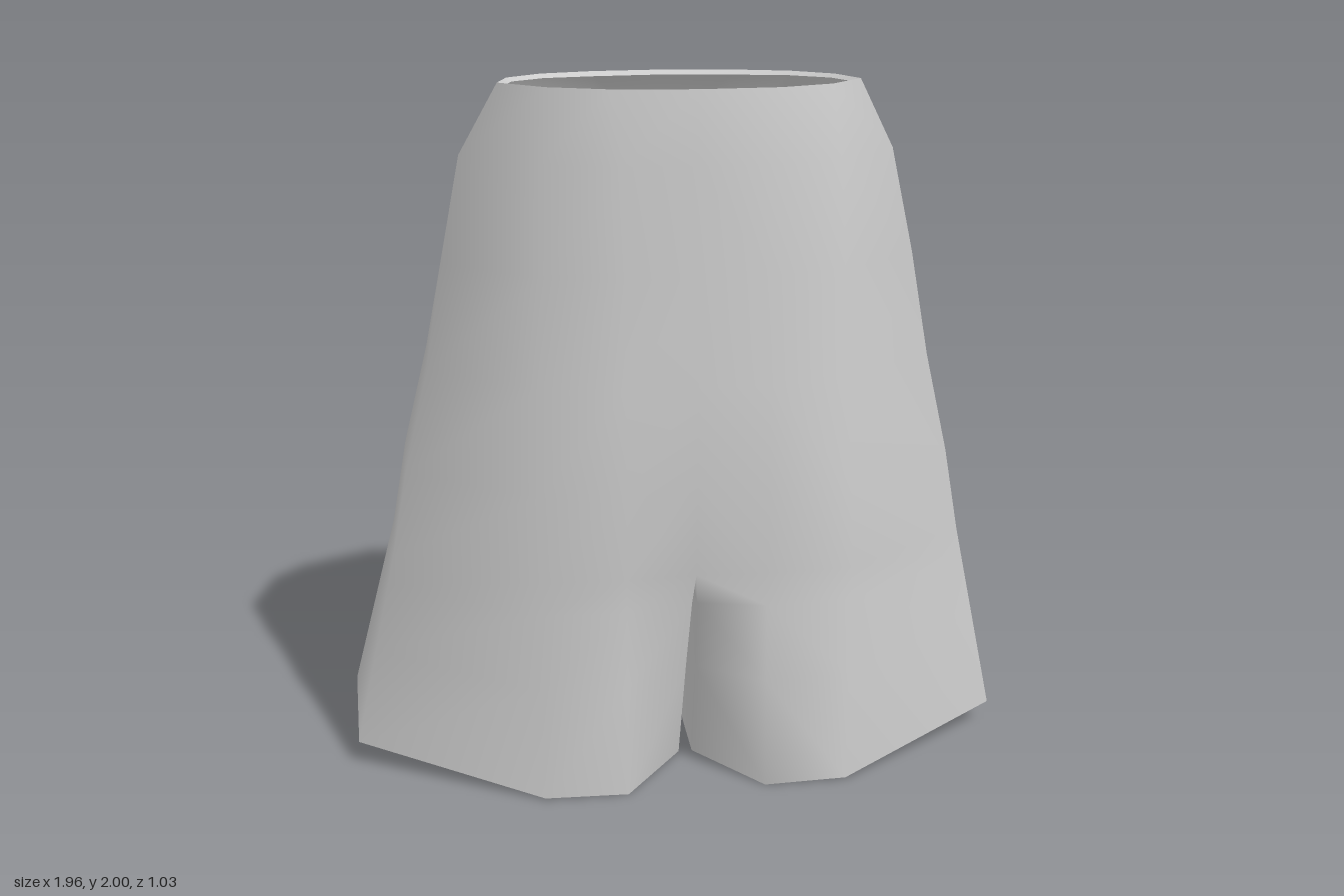
import * as THREE from 'three';
import { mergeVertices } from 'three/addons/utils/BufferGeometryUtils.js';

const THICKNESS = 0.02;

// Half sections as x, z pairs, running from front centre round the left side to back centre
const section = (y, xz) => xz.map(([x, z]) => new THREE.Vector3(x, y, z));

const waist = section(2, [[0, 0.475], [0.23, 0.445], [0.39, 0.355], [0.51, 0.19], [0.475, 0.025], [0.37, -0.1], [0.21, -0.17], [0, -0.2]]);
const upperHip = section(1.8, [[0, 0.49], [0.2, 0.48], [0.41, 0.4], [0.62, 0.15], [0.575, -0.06], [0.37, -0.27], [0.2, -0.38], [0, -0.38]]);
const midHip = section(1.5, [[0, 0.495], [0.2, 0.49], [0.42, 0.43], [0.68, 0.18], [0.665, -0.13], [0.41, -0.315], [0.2, -0.39], [0, -0.385]]);
const hip = section(1.2, [[0, 0.5], [0.2, 0.505], [0.43, 0.45], [0.73, 0.2], [0.725, -0.13], [0.46, -0.35], [0.2, -0.43], [0, -0.42]]);
const seat = section(0.9, [[0, 0.5], [0.2, 0.515], [0.44, 0.48], [0.8, 0.2], [0.8, -0.13], [0.5, -0.37], [0.2, -0.44], [0, -0.44]]);
const thigh = section(0.65, [[0, 0.48], [0.2, 0.495], [0.45, 0.48], [0.845, 0.2], [0.845, -0.13], [0.53, -0.38], [0.2, -0.465], [0, -0.465]]);

// Closed leg rings: the half section plus points back along the inner leg
const legTop = [...thigh, new THREE.Vector3(0, 0.645, -0.18), new THREE.Vector3(0, 0.645, 0.2), thigh[0]];
const hem = [
  [0.02, 0.01, 0.28], [0.2, 0, 0.51], [0.44, 0.005, 0.51], [0.97, 0.07, 0.2], [0.98, 0.14, -0.12],
  [0.57, 0.13, -0.39], [0.22, 0.12, -0.515], [0.02, 0.095, -0.25], [0.02, 0.065, -0.08], [0.02, 0.025, 0.12], [0.02, 0.01, 0.28],
].map((p) => new THREE.Vector3(...p));

// Rings between crotch and hem; the inner leg parts quickly from its twin
const legRing = (t) => legTop.map((p, i) => {
  const q = p.clone().lerp(hem[i], t);
  if (i === 0 || i > 6) q.x = 0.02 * Math.sqrt(t);
  return q;
});

// Skins rows of points, top to bottom, and mirrors them to the other side
function skin(rows, out) {
  const tri = (...pts) => {
    pts.forEach((p) => out.push(p.x, p.y, p.z));
    pts.reverse().forEach((p) => out.push(-p.x, p.y, p.z));
  };
  for (let i = 0; i < rows.length - 1; i++) {
    for (let j = 0; j < rows[i].length - 1; j++) {
      const a = rows[i][j], b = rows[i][j + 1], c = rows[i + 1][j + 1], d = rows[i + 1][j];
      tri(a, d, c);
      tri(a, c, b);
    }
  }
}

function geometryFrom(positions, index) {
  const g = new THREE.BufferGeometry();
  g.setAttribute('position', new THREE.Float32BufferAttribute(positions, 3));
  if (index) g.setIndex(index);
  return g;
}

export function createModel() {
  const group = new THREE.Group();
  group.name = 'shorts';
  const material = new THREE.MeshStandardMaterial({ color: 0xcccccc });
  const add = (name, geometry) => {
    geometry.computeVertexNormals();
    const mesh = new THREE.Mesh(geometry, material);
    mesh.name = name;
    group.add(mesh);
    return geometry;
  };

  // Outer cloth: torso and both legs in one smooth skin
  const soup = [];
  skin([waist, upperHip, midHip, hip, seat, thigh], soup);
  skin([legTop, legRing(0.15), legRing(0.5), hem], soup);
  const outer = add('outerCloth', mergeVertices(geometryFrom(soup), 1e-4));

  // Lining: the same skin moved inward and turned over
  const pos = outer.attributes.position, nor = outer.attributes.normal;
  const inside = [];
  for (let i = 0; i < pos.count; i++) {
    const p = new THREE.Vector3().fromBufferAttribute(pos, i);
    const n = new THREE.Vector3().fromBufferAttribute(nor, i);
    inside.push(...p.addScaledVector(n, -THICKNESS).toArray());
  }
  const faces = Array.from(outer.index.array);
  add('lining', geometryFrom(inside, faces.slice().reverse()));

  // Rims: close the cloth thickness along every open edge (waist and hems)
  const edges = new Map();
  for (let i = 0; i < faces.length; i += 3) {
    for (let k = 0; k < 3; k++) {
      const a = faces[i + k], b = faces[i + (k + 1) % 3];
      edges.set(`${a}_${b}`, [a, b]);
    }
  }
  const rim = [];
  const shift = pos.count;
  for (const [a, b] of edges.values()) {
    if (!edges.has(`${b}_${a}`)) rim.push(b, a, a + shift, b, a + shift, b + shift);
  }
  add('waistAndHemRims', geometryFrom([...pos.array, ...inside], rim));
  return group;
}
